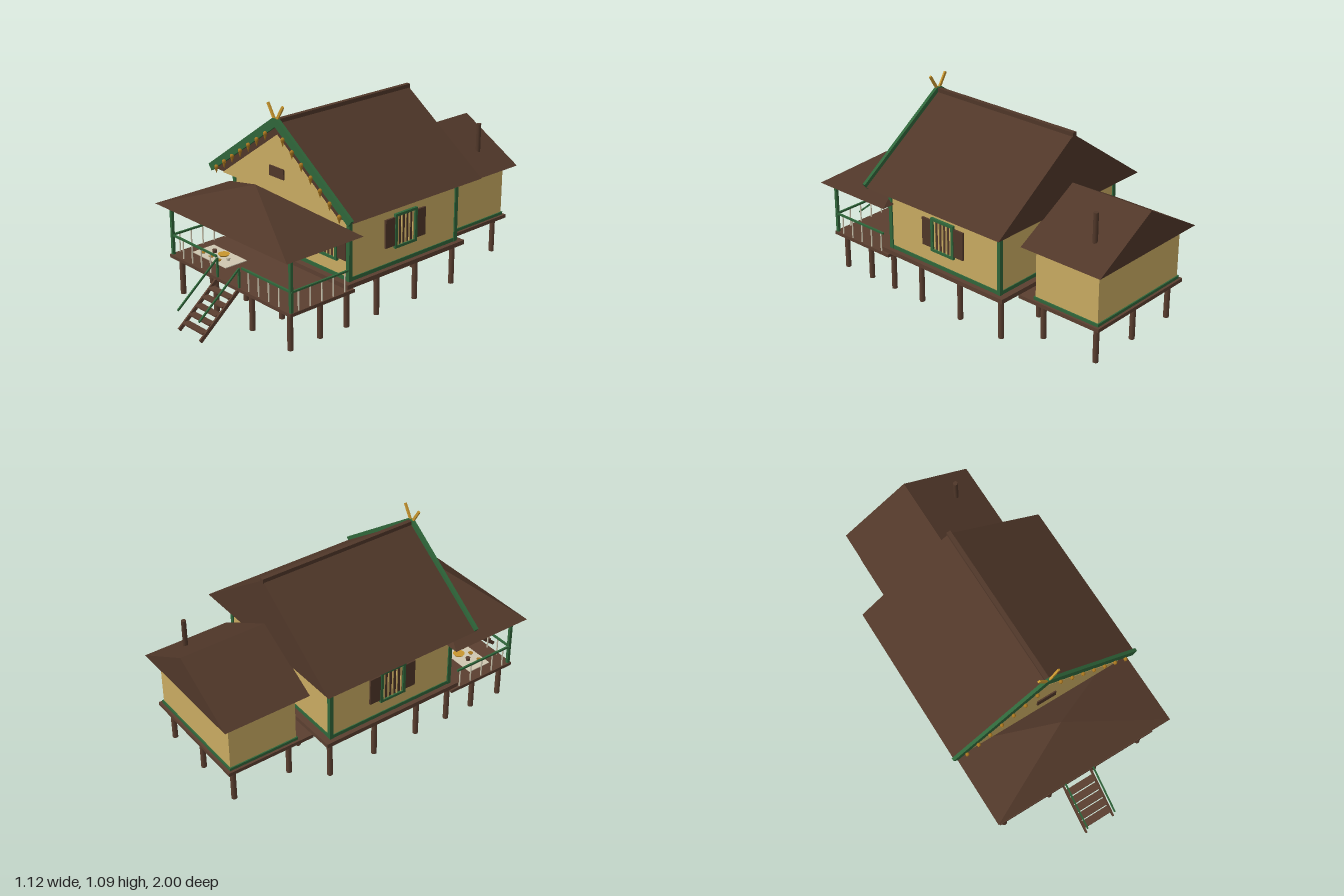
import * as THREE from 'three';

const mat = (name, color, side = THREE.FrontSide) => {
  const m = new THREE.MeshStandardMaterial({ color, side });
  m.name = name;
  return m;
};

export function createModel() {
  const M = {
    roof: mat('roofBrown', 0x503729),
    wood: mat('woodBrown', 0x5b3f30),
    wall: mat('wallYellow', 0xc9ab62),
    green: mat('trimGreen', 0x2f663a),
    gold: mat('gold', 0xc8962f),
    darkGold: mat('darkGold', 0xa8761f),
    cream: mat('cream', 0xcfc7b0),
  };
  const model = new THREE.Group();
  model.name = 'stiltHouse';

  const group = (name, parent = model) => {
    const g = new THREE.Group();
    g.name = name;
    parent.add(g);
    return g;
  };
  const add = (parent, name, geo, m, x = 0, y = 0, z = 0) => {
    const mesh = new THREE.Mesh(geo, m);
    mesh.name = name;
    mesh.position.set(x, y, z);
    parent.add(mesh);
    return mesh;
  };
  // Box given by its limits on each axis
  const box = (parent, name, m, x0, x1, y0, y1, z0, z1) =>
    add(parent, name, new THREE.BoxGeometry(x1 - x0, y1 - y0, z1 - z0), m,
      (x0 + x1) / 2, (y0 + y1) / 2, (z0 + z1) / 2);
  // Square bar between two points
  const beam = (parent, name, m, a, b, w, h) => {
    const p = new THREE.Vector3(...a), q = new THREE.Vector3(...b);
    const mesh = add(parent, name, new THREE.BoxGeometry(w, h, p.distanceTo(q)), m);
    mesh.position.copy(p).add(q).multiplyScalar(0.5);
    mesh.lookAt(q);
    return mesh;
  };
  const post = (parent, name, m, r, x, z, y0, y1) =>
    add(parent, name, new THREE.CylinderGeometry(r, r, y1 - y0, 10), m, x, (y0 + y1) / 2, z);
  // Solid shape in the front plane, between two depths
  const plate = (parent, name, m, pts, z0, z1) => {
    const shape = new THREE.Shape(pts.map(p => new THREE.Vector2(...p)));
    return add(parent, name, new THREE.ExtrudeGeometry(shape, { depth: z1 - z0, bevelEnabled: false }), m, 0, 0, z0);
  };

  // Stilts
  const stilts = group('stilts');
  const rows = (xs, zs, top) => xs.forEach(x => zs.forEach(z => post(stilts, 'stilt', M.wood, 0.015, x, z, 0, top)));
  rows([-0.435, -0.145, 0.145, 0.435], [0.34, 0.13, -0.147, -0.43], 0.235);
  rows([-0.435, -0.145, 0.145, 0.435], [0.71, 0.517], 0.21);
  rows([-0.293, 0, 0.293], [-0.587, -0.92], 0.21);

  // Floors
  box(model, 'mainFloor', M.wood, -0.48, 0.48, 0.228, 0.252, -0.475, 0.375);
  box(model, 'porchFloor', M.wood, -0.485, 0.485, 0.204, 0.222, 0.33, 0.75);
  box(model, 'kitchenFloor', M.wood, -0.345, 0.345, 0.204, 0.224, -0.97, -0.465);

  // Main house walls with green corner posts and beams
  const house = group('mainHouse');
  box(house, 'mainWalls', M.wall, -0.45, 0.45, 0.25, 0.612, -0.435, 0.335);
  for (const x of [-0.446, 0.446]) for (const z of [-0.431, 0.331])
    box(house, 'cornerPost', M.green, x - 0.011, x + 0.011, 0.25, 0.611, z - 0.011, z + 0.011);
  for (const [y0, y1] of [[0.252, 0.272], [0.593, 0.611]]) {
    for (const z of [-0.431, 0.331]) box(house, 'wallBeam', M.green, -0.446, 0.446, y0, y1, z - 0.009, z + 0.009);
    for (const x of [-0.446, 0.446]) box(house, 'wallBeam', M.green, x - 0.009, x + 0.009, y0, y1, -0.431, 0.331);
  }

  // Window with bars and open shutters, built facing +z
  const addWindow = (x, z, turn) => {
    const w = group('window', house);
    w.position.set(x, 0.437, z);
    w.rotation.y = turn;
    box(w, 'windowPane', M.roof, -0.07, 0.07, -0.085, 0.085, -0.004, 0.004);
    for (const s of [-1, 1]) {
      box(w, 'frameSide', M.green, s * 0.071 - 0.008, s * 0.071 + 0.008, -0.094, 0.094, -0.005, 0.014);
      box(w, 'frameRail', M.green, -0.079, 0.079, s * 0.087 - 0.007, s * 0.087 + 0.007, -0.005, 0.014);
      box(w, 'shutter', M.roof, s * 0.111 - 0.032, s * 0.111 + 0.032, -0.077, 0.077, -0.004, 0.01);
    }
    for (let i = -2; i <= 2; i++)
      box(w, 'windowBar', M.wall, i * 0.027 - 0.004, i * 0.027 + 0.004, -0.082, 0.082, 0.003, 0.009);
  };
  addWindow(-0.292, 0.336, 0);
  addWindow(0.292, 0.336, 0);
  addWindow(0.451, -0.05, Math.PI / 2);
  addWindow(-0.451, -0.05, -Math.PI / 2);

  // Front door
  box(house, 'door', M.roof, -0.073, 0.073, 0.25, 0.51, 0.33, 0.345);
  for (const s of [-1, 1]) box(house, 'doorJamb', M.green, s * 0.079 - 0.007, s * 0.079 + 0.007, 0.25, 0.525, 0.33, 0.35);
  box(house, 'doorLintel', M.green, -0.086, 0.086, 0.51, 0.525, 0.33, 0.35);
  add(house, 'doorKnob', new THREE.SphereGeometry(0.006, 10, 8), M.gold, 0.052, 0.385, 0.35);

  // Main gable roof
  const roof = group('mainRoof');
  plate(roof, 'roofBody', M.roof, [[-0.55, 0.61], [0.55, 0.61], [0, 0.995]], -0.515, 0.408);
  box(roof, 'ridgeCap', M.roof, -0.012, 0.012, 0.983, 1.008, -0.52, 0.408);
  plate(roof, 'gablePanel', M.wall, [[-0.45, 0.607], [0.45, 0.607], [0, 0.925]], 0.407, 0.413);
  box(roof, 'gableVent', M.roof, -0.056, 0.056, 0.7, 0.755, 0.41, 0.42);
  for (const s of [-1, 1]) {
    const pts = [[0, 1.012], [0, 0.968], [s * 0.534, 0.596], [s * 0.558, 0.628], [s * 0.018, 1.012]];
    plate(roof, 'bargeBoard', M.green, pts, 0.406, 0.424);
    beam(roof, 'crossedFinial', M.gold, [-s * 0.004, 0.985, 0.417], [s * 0.057, 1.083, 0.417], 0.01, 0.014);
    // Hanging gable ornaments
    for (let i = 0; i < 7; i++) {
      const x = s * (0.068 + i * 0.0688), y = 0.962 - 0.695 * Math.abs(x);
      const o = group('gableOrnament', roof);
      o.position.set(x, y, 0.431);
      add(o, 'ornamentTop', new THREE.SphereGeometry(0.011, 8, 6), M.darkGold, 0, 0.006, 0);
      add(o, 'ornamentDrop', new THREE.ConeGeometry(0.011, 0.036, 8).rotateX(Math.PI), M.darkGold, 0, -0.015, 0);
    }
  }

  // Porch hip roof and posts
  const porch = group('porch');
  const hip = new THREE.ConeGeometry(Math.SQRT1_2, 0.188, 4, 1).rotateY(Math.PI / 4).scale(1.05, 1, 0.49);
  add(porch, 'porchRoof', hip.toNonIndexed(), M.roof, 0, 0.604, 0.555).geometry.computeVertexNormals();
  for (const s of [-1, 1]) {
    box(porch, 'porchPost', M.green, s * 0.474 - 0.008, s * 0.474 + 0.008, 0.22, 0.525, 0.727, 0.743);
    // Railings
    box(porch, 'frontRail', M.green, s * 0.293 - 0.192, s * 0.293 + 0.192, 0.325, 0.335, 0.73, 0.74);
    box(porch, 'sideRail', M.green, s * 0.476 - 0.005, s * 0.476 + 0.005, 0.325, 0.335, 0.37, 0.743);
    for (let i = 0; i < 4; i++) post(porch, 'baluster', M.cream, 0.004, s * (0.153 + i * 0.077), 0.735, 0.22, 0.328);
    for (let i = 0; i < 5; i++) post(porch, 'baluster', M.cream, 0.004, s * 0.476, 0.39 + i * 0.075, 0.22, 0.328);
  }

  // Mat with dishes
  const meal = group('mealMat', porch);
  box(meal, 'mat', M.cream, -0.42, -0.14, 0.221, 0.226, 0.51, 0.65);
  add(meal, 'tray', new THREE.CylinderGeometry(0.032, 0.024, 0.01, 14), M.gold, -0.27, 0.232, 0.56);
  add(meal, 'pot', new THREE.CylinderGeometry(0.013, 0.011, 0.018, 12), M.wood, -0.335, 0.234, 0.57);
  add(meal, 'cup', new THREE.CylinderGeometry(0.012, 0.009, 0.016, 12), M.cream, -0.207, 0.233, 0.58);
  for (const x of [-0.37, -0.3, -0.235])
    add(meal, 'dish', new THREE.CylinderGeometry(0.014, 0.01, 0.006, 12), M.darkGold, x, 0.229, 0.62);

  // Front stairs
  const stairs = group('stairs');
  for (const s of [-1, 1]) {
    beam(stairs, 'stringer', M.wood, [s * 0.087, 0.208, 0.752], [s * 0.087, 0.009, 0.992], 0.01, 0.02);
    beam(stairs, 'stairRail', M.green, [s * 0.087, 0.322, 0.745], [s * 0.087, 0.117, 0.996], 0.008, 0.009);
    box(stairs, 'stairPost', M.green, s * 0.087 - 0.005, s * 0.087 + 0.005, 0.21, 0.328, 0.737, 0.747);
  }
  for (let i = 0; i < 5; i++) {
    const y = 0.042 + i * 0.0345, z = 0.955 - i * 0.0415;
    box(stairs, 'tread', M.wood, -0.083, 0.083, y - 0.004, y + 0.004, z - 0.02, z + 0.02);
  }

  // Kitchen annex at the back
  const kitchen = group('kitchen');
  box(kitchen, 'kitchenWalls', M.wall, -0.325, 0.325, 0.222, 0.525, -0.95, -0.56);
  box(kitchen, 'kitchenSill', M.green, -0.332, 0.332, 0.223, 0.24, -0.957, -0.553);
  box(kitchen, 'kitchenShutter', M.roof, -0.06, 0.06, 0.316, 0.476, -0.562, -0.553);
  plate(kitchen, 'kitchenRoof', M.roof, [[-0.385, 0.52], [0.385, 0.52], [0, 0.737]], -1, -0.51);
  post(kitchen, 'chimney', M.roof, 0.013, 0.23, -0.845, 0.58, 0.762);

  return model;
}
